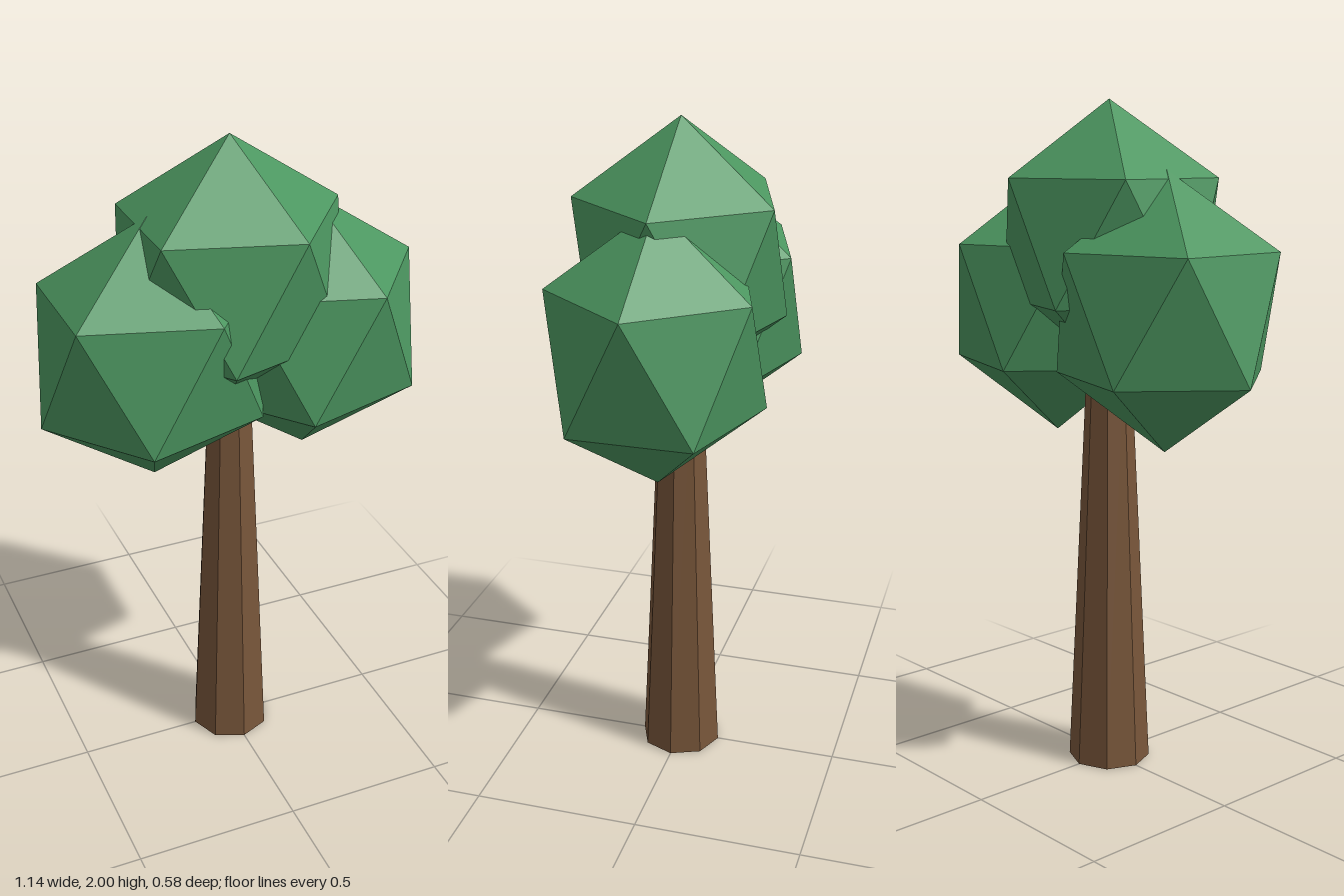
import * as THREE from 'three';

export function createModel() {
  const tree = new THREE.Group();
  tree.name = 'tree';

  const leafGreen = new THREE.MeshStandardMaterial({ color: 0x4c9660, flatShading: true });
  leafGreen.name = 'leaf green';
  const barkBrown = new THREE.MeshStandardMaterial({ color: 0x78563a, flatShading: true });
  barkBrown.name = 'bark brown';

  // Tapered eight-sided trunk, its top hidden inside the foliage
  const trunkHeight = 1.25;
  const trunk = new THREE.Mesh(new THREE.CylinderGeometry(0.066, 0.124, trunkHeight, 8), barkBrown);
  trunk.name = 'trunk';
  trunk.position.y = trunkHeight / 2;
  tree.add(trunk);

  // Icosahedron stood on a corner, upper ring pointing to +x, then stretched
  const clump = new THREE.IcosahedronGeometry(1, 0);
  clump.rotateX(-Math.atan((1 + Math.sqrt(5)) / 2));
  clump.rotateY(Math.PI / 2);
  clump.scale(0.37, 0.4, 0.341);

  // Three overlapping clumps of foliage
  const clumps = [
    ['topFoliage', 0, 1.6],
    ['leftFoliage', 0.24, 1.403],
    ['rightFoliage', -0.24, 1.403],
  ];
  for (const [name, x, y] of clumps) {
    const foliage = new THREE.Mesh(clump, leafGreen);
    foliage.name = name;
    foliage.position.set(x, y, 0);
    tree.add(foliage);
  }

  return tree;
}
